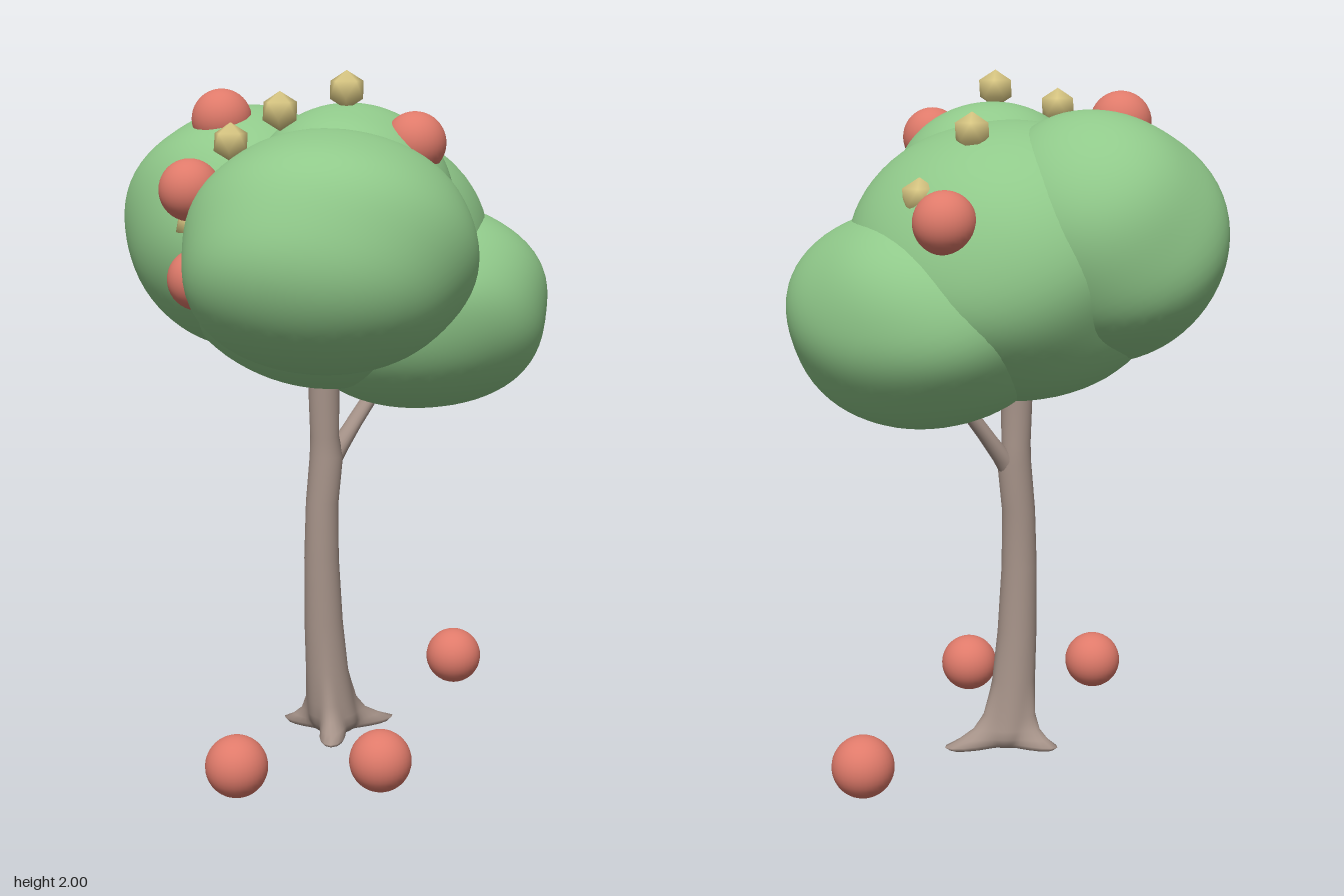
import * as THREE from 'three';
import { mergeVertices } from 'three/addons/utils/BufferGeometryUtils.js';

const mat = (name, color) => Object.assign(new THREE.MeshStandardMaterial({ color }), { name });

// Ball of evenly spread triangles with shared corners and smooth normals
function smoothBall(radius, detail) {
  const src = new THREE.IcosahedronGeometry(radius, detail);
  src.deleteAttribute('normal');
  src.deleteAttribute('uv');
  const geo = mergeVertices(src, 1e-4);
  geo.computeVertexNormals();
  return geo;
}

// Rounded, slightly lumpy leaf mass; e above 2 makes it a little boxier
function blobGeometry(rx, ry, rz, e, seed) {
  const geo = smoothBall(1, 12);
  const pos = geo.attributes.position;
  const v = new THREE.Vector3();
  for (let i = 0; i < pos.count; i++) {
    v.fromBufferAttribute(pos, i);
    const round = (Math.abs(v.x) ** e + Math.abs(v.y) ** e + Math.abs(v.z) ** e) ** (-1 / e);
    const lump = 1
      + 0.014 * Math.sin(3.1 * v.x + 2.3 * v.y + seed)
      + 0.014 * Math.sin(3.7 * v.z - 2.9 * v.y + seed * 2.3)
      + 0.012 * Math.sin(5.3 * v.y + 4.1 * v.x - 3.3 * v.z + seed * 1.7);
    v.multiplyScalar(round * lump);
    pos.setXYZ(i, v.x * rx, v.y * ry, v.z * rz);
  }
  geo.computeVertexNormals();
  return geo;
}

// Root directions: [angle, reach]
const roots = [[0.1, 0.16], [2.2, 0.16], [4.2, 0.13]];

// Limb from horizontal rings [x, y, z, radius, rootFlare]
function limbGeometry(rings, sides = 60) {
  const points = [], index = [];
  rings.forEach(([x, y, z, r, flare = 0], i) => {
    for (let j = 0; j < sides; j++) {
      const a = (j / sides) * Math.PI * 2;
      let radius = r;
      for (const [angle, reach] of roots) {
        radius += flare * reach * Math.max(0, Math.cos(a - angle)) ** 16;
      }
      points.push(x + Math.cos(a) * radius, y, z + Math.sin(a) * radius);
      if (i < rings.length - 1) {
        const p = i * sides + j, q = i * sides + (j + 1) % sides;
        index.push(p, p + sides, q, q, p + sides, q + sides);
      }
    }
  });
  const geo = new THREE.BufferGeometry();
  geo.setAttribute('position', new THREE.Float32BufferAttribute(points, 3));
  geo.setIndex(index);
  geo.computeVertexNormals();
  return geo;
}

export function createModel() {
  const tree = new THREE.Group();
  tree.name = 'fruitTree';
  const bark = mat('bark', 0xa59288);
  const leaf = mat('leafGreen', 0x90c98a);
  const red = mat('fruitRed', 0xdf7a6a);
  const yellow = mat('blossomYellow', 0xdcca85);

  const add = (name, geometry, material, x = 0, y = 0, z = 0) => {
    const mesh = new THREE.Mesh(geometry, material);
    mesh.name = name;
    mesh.position.set(x, y, z);
    tree.add(mesh);
  };

  // Trunk with flared roots
  add('trunk', limbGeometry([
    [-0.01, 0.004, -0.075, 0.001],
    [-0.01, 0.006, -0.075, 0.055, 0.8],
    [-0.01, 0.018, -0.075, 0.064, 0.85],
    [-0.012, 0.035, -0.075, 0.074, 0.5],
    [-0.018, 0.06, -0.075, 0.074, 0.24],
    [-0.025, 0.1, -0.075, 0.07, 0.1],
    [-0.037, 0.2, -0.076, 0.064],
    [-0.048, 0.35, -0.077, 0.058],
    [-0.055, 0.55, -0.077, 0.052],
    [-0.052, 0.72, -0.077, 0.049],
    [-0.037, 0.86, -0.077, 0.05],
    [-0.043, 0.92, -0.077, 0.043],
    [-0.045, 1.05, -0.077, 0.046],
    [-0.045, 1.2, -0.077, 0.042],
  ]), bark);

  // Side branch
  add('branch', limbGeometry([
    [-0.03, 0.82, -0.075, 0.03],
    [-0.005, 0.87, -0.075, 0.034],
    [0.05, 0.94, -0.073, 0.028],
    [0.12, 1.03, -0.07, 0.026],
    [0.22, 1.15, -0.06, 0.022],
  ], 20), bark);

  // Leaf masses: name, centre, radii and boxiness
  [
    ['frontFoliage', [-0.25, 1.51, 0.275], [0.415, 0.34, 0.4, 2.02]],
    ['rightFoliage', [0.225, 1.31, -0.01], [0.38, 0.315, 0.425, 2.12]],
    ['backFoliage', [-0.18, 1.535, -0.3], [0.338, 0.35, 0.378, 2.08]],
    ['centreFoliage', [0, 1.455, -0.1], [0.455, 0.405, 0.475, 2.02]],
    ['topFoliage', [-0.065, 1.63, 0.105], [0.295, 0.28, 0.28, 2.05]],
  ].forEach(([name, c, r], i) => add(name, blobGeometry(...r, i * 1.9 + 0.6), leaf, ...c));

  // Fruit on the ground and in the crown
  const fruit = new THREE.SphereGeometry(0.088, 32, 20);
  [[0.572, 0.093, -0.265], [-0.553, 0.093, 0.27], [-0.192, 0.093, 0.45]]
    .forEach((p) => add('fallenFruit', fruit, red, ...p));
  [[-0.285, 1.855, -0.25], [0.035, 1.8, 0.275], [0.35, 1.6, -0.345],
    [-0.497, 1.67, -0.06], [-0.485, 1.42, -0.04]]
    .forEach((p) => add('hangingFruit', fruit, red, ...p));

  // Coarse rounded blossoms, one corner pointing up
  const blossom = smoothBall(0.055, 0);
  blossom.rotateX(-Math.atan((1 + Math.sqrt(5)) / 2));
  [[-0.09, 1.945, 0.118], [-0.307, 1.89, 0.115], [0.175, 1.835, -0.195],
    [0.345, 1.66, -0.2], [-0.37, 1.8, -0.05], [-0.45, 1.57, -0.13]]
    .forEach((p) => add('blossom', blossom, yellow, ...p));

  return tree;
}
